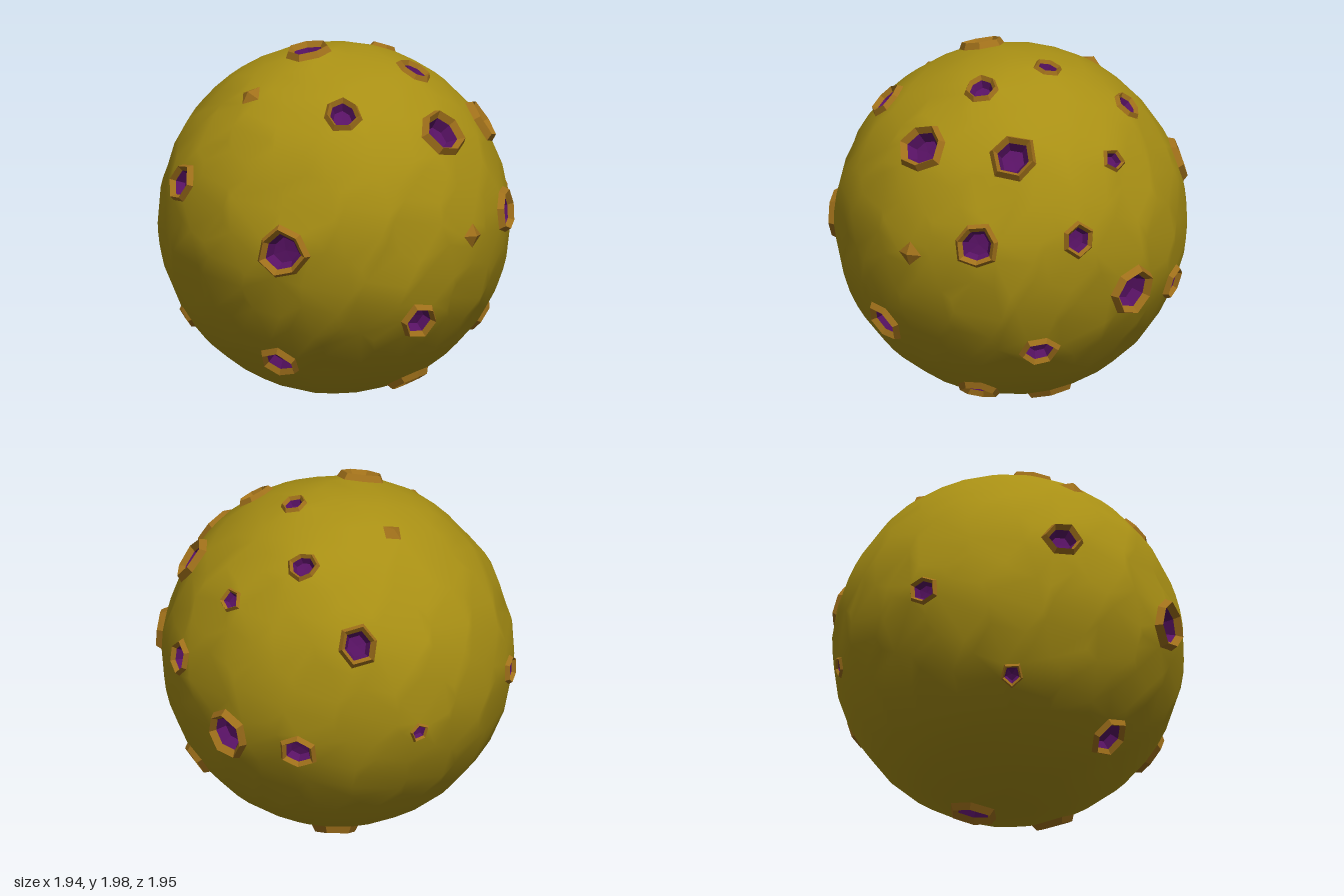
import * as THREE from 'three';
import { ConvexGeometry } from 'three/addons/geometries/ConvexGeometry.js';
import { mergeVertices } from 'three/addons/utils/BufferGeometryUtils.js';

const R = 0.96;
const CENTRE = new THREE.Vector3(0, 1, 0.025);

// craters: direction from the centre, outer radius
const CRATERS = [
  [-0.30, 0.26, 0.87, 0.12], [0.44, -0.04, 0.855, 0.15], [0.20, -0.69, 0.63, 0.12],
  [0.51, 0.69, 0.455, 0.11], [-0.88, -0.03, 0.38, 0.09], [0.78, 0.55, -0.04, 0.15],
  [0.59, 0.54, -0.53, 0.14], [0.83, 0.08, -0.475, 0.13], [0.83, -0.45, 0.185, 0.12],
  [0.44, 0.84, -0.17, 0.1], [0.48, -0.55, -0.625, 0.11], [0.42, -0.85, -0.135, 0.12],
  [0.43, 0.1, -0.865, 0.1], [0.055, -0.245, -0.925, 0.15], [-0.11, -0.93, -0.17, 0.14],
  [0, 0.93, 0.2, 0.13], [0.06, 0.9, -0.315, 0.08], [-0.24, 0.69, -0.625, 0.09],
  [-0.63, 0.32, -0.645, 0.12], [0.1, 0.48, -0.825, 0.075], [-0.37, -0.29, -0.84, 0.11],
  [-0.855, -0.196, -0.39, 0.06], [-0.48, -0.52, 0.65, 0.07],
];

// small raised points
const SPIKES = [
  [-0.04, 0.74, 0.61, 0.07], [0.955, 0, -0.1, 0.07], [-0.49, 0.81, -0.155, 0.065],
];

// shallow hollows: direction, width, depth
const DENTS = [
  [-0.65, 0.3, 0.64, 0.09, 0.04], [-0.62, 0.12, 0.72, 0.08, 0.03], [0.45, 0.3, 0.79, 0.12, 0.04],
  [0.9, 0.2, 0.25, 0.09, 0.03], [0.88, -0.02, 0.38, 0.1, 0.03], [-0.14, -0.3, 0.9, 0.08, 0.03],
  [0.4, -0.3, 0.82, 0.1, 0.035], [0.42, -0.74, 0.45, 0.1, 0.04], [0.74, 0.34, -0.55, 0.1, 0.04],
  [0.105, 0.277, -0.91, 0.09, 0.04], [-0.265, 0.398, -0.83, 0.09, 0.04],
  [-0.735, 0.555, -0.27, 0.09, 0.04], [-0.39, 0.148, -0.866, 0.08, 0.035],
  [-0.42, 0.65, 0.55, 0.09, 0.025], [0.25, 0.9, 0.2, 0.09, 0.025], [0.2, -0.2, -0.92, 0.1, 0.03],
].map(([x, y, z, w, depth]) => ({ n: new THREE.Vector3(x, y, z).normalize(), w, depth }));

// place a unit direction on the dented ball
function onSurface(dir, lift = 0) {
  let r = R + lift;
  for (const { n, w, depth } of DENTS) r -= depth * Math.exp(-((dir.angleTo(n) * R / w) ** 2));
  return dir.clone().multiplyScalar(r);
}

// irregular ring of unit directions, counter-clockwise around n
function ring(n, radius, sides, seed) {
  const helper = Math.abs(n.y) > 0.8 ? new THREE.Vector3(1, 0, 0) : new THREE.Vector3(0, 1, 0);
  const u = helper.cross(n).normalize();
  const v = n.clone().cross(u);
  return Array.from({ length: sides }, (_, i) => {
    const a = (i / sides) * Math.PI * 2 + seed;
    const r = radius / R * (1 + 0.08 * Math.sin(i * 2.3 + seed * 5));
    return n.clone().addScaledVector(u, r * Math.cos(a)).addScaledVector(v, r * Math.sin(a)).normalize();
  });
}

function meshFrom(points, material, name) {
  const mesh = new THREE.Mesh(new THREE.BufferGeometry().setFromPoints(points), material);
  mesh.geometry.computeVertexNormals();
  mesh.name = name;
  return mesh;
}

function band(outer, inner) {
  return outer.flatMap((a, i) => {
    const j = (i + 1) % outer.length;
    return [a, outer[j], inner[j], a, inner[j], inner[i]];
  });
}

function fan(loop, tip) {
  return loop.flatMap((p, i) => [p, loop[(i + 1) % loop.length], tip]);
}

export function createModel() {
  const group = new THREE.Group();
  group.name = 'crateredBall';
  group.position.copy(CENTRE);
  const skin = new THREE.MeshStandardMaterial({ color: 0xa88f14 });
  const rimMat = new THREE.MeshStandardMaterial({ color: 0xa0701a, flatShading: true });
  const floorMat = new THREE.MeshStandardMaterial({ color: 0x581264, flatShading: true });

  const features = [...CRATERS, ...SPIKES].map(([x, y, z, r], k) => {
    const n = new THREE.Vector3(x, y, z).normalize();
    const spike = k >= CRATERS.length;
    const sides = spike ? 4 : r < 0.08 ? 5 : 6 + (k % 2);
    return { n, r, spike, sides, seed: k * 1.7, edge: ring(n, r, sides, k * 1.7) };
  });

  // ball skin: scattered points plus crater edges, joined by their hull
  const points = features.flatMap((f) => f.edge);
  const COUNT = 560;
  for (let i = 0; i < COUNT; i++) {
    const y = 1 - (2 * i + 1) / COUNT;
    const a = i * 2.39996 + 0.12 * Math.sin(i * 7.1);
    const s = Math.sqrt(1 - y * y);
    const p = new THREE.Vector3(s * Math.cos(a), y, s * Math.sin(a));
    if (features.every((f) => p.angleTo(f.n) * R > f.r * 1.25 + 0.01)) points.push(p);
  }
  const hull = new ConvexGeometry(points).getAttribute('position');
  const skinPoints = [];
  for (let i = 0; i < hull.count; i += 3) {
    const tri = [0, 1, 2].map((k) => new THREE.Vector3().fromBufferAttribute(hull, i + k).normalize());
    const mid = tri[0].clone().add(tri[1]).add(tri[2]).normalize();
    // leave an opening inside each crater edge
    const inside = features.some((f) => tri.every((p) => f.edge.some((e) => e.distanceTo(p) < 1e-4))
      && mid.angleTo(f.n) * R < f.r);
    if (!inside) skinPoints.push(...tri.map((p) => onSurface(p)));
  }
  const body = new THREE.Mesh(mergeVertices(new THREE.BufferGeometry().setFromPoints(skinPoints), 1e-4), skin);
  body.geometry.computeVertexNormals();
  body.name = 'ballSkin';
  group.add(body);

  // crater rims and floors, and small spikes
  for (const f of features) {
    const edge = f.edge.map((d) => onSurface(d));
    if (f.spike) {
      group.add(meshFrom(fan(edge, onSurface(f.n, 0.03)), rimMat, 'spike'));
      continue;
    }
    const loop = (scale, lift) => ring(f.n, f.r * scale, f.sides, f.seed).map((d) => onSurface(d, lift));
    const rim = loop(0.82, f.r * 0.25);
    const wall = loop(0.66, 0);
    const floor = loop(0.5, -f.r * 0.4);
    const crater = new THREE.Group();
    crater.name = 'crater';
    crater.add(meshFrom([...band(edge, rim), ...band(rim, wall)], rimMat, 'craterRim'));
    crater.add(meshFrom([...band(wall, floor), ...fan(floor, onSurface(f.n, -f.r * 0.45))], floorMat, 'craterFloor'));
    group.add(crater);
  }
  return group;
}
